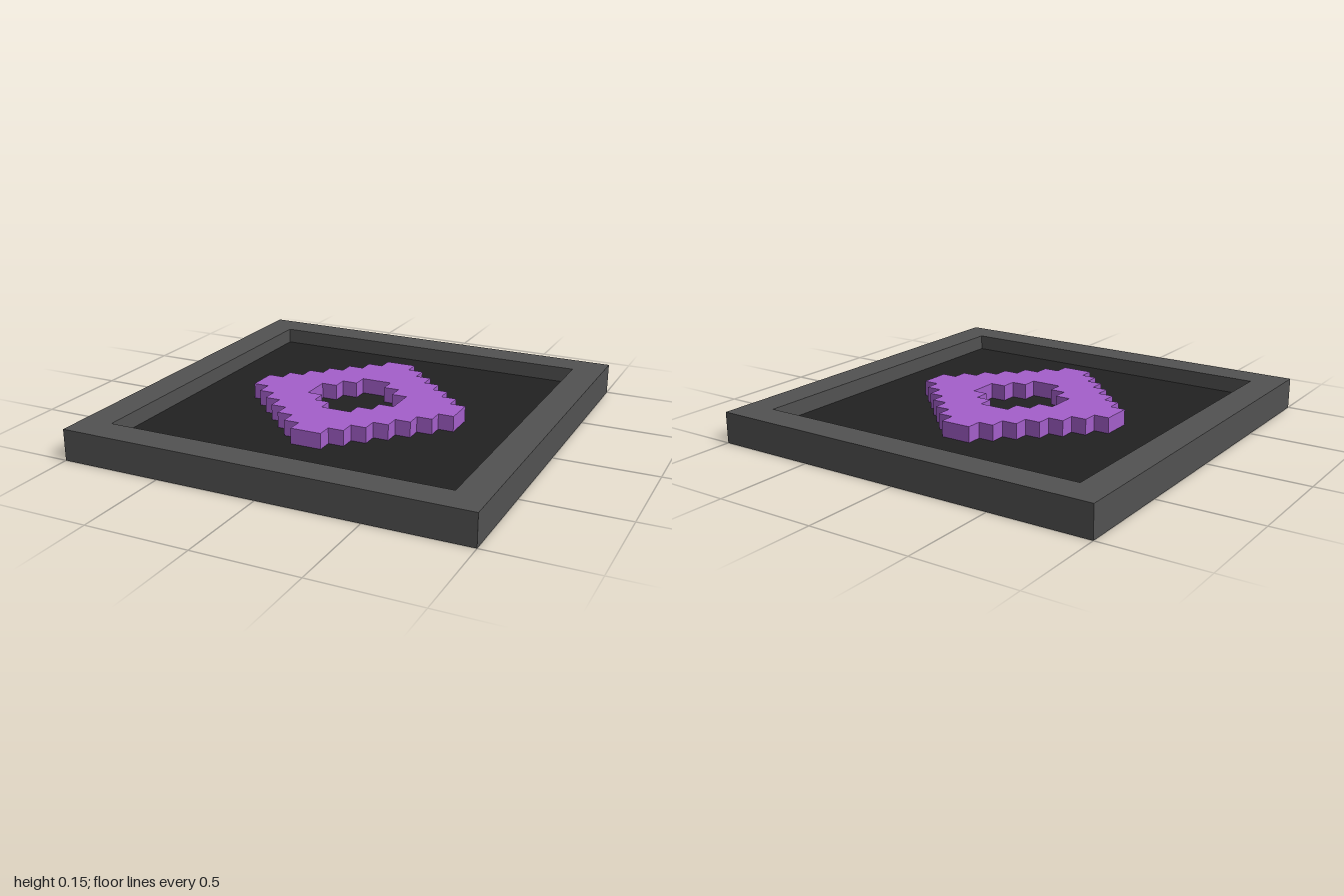
import * as THREE from 'three';

const CELL = 2 / 26; // the model sits on a 26 x 26 block grid

const frameGrey = new THREE.MeshStandardMaterial({ name: 'frameGrey', color: 0x525252 });
const floorBlack = new THREE.MeshStandardMaterial({ name: 'floorBlack', color: 0x222222 });
const ringPurple = new THREE.MeshStandardMaterial({ name: 'ringPurple', color: 0xa45fcb });

// Square outline with the given half width in cells
function squarePoints(half) {
  const h = half * CELL;
  return [[-h, -h], [h, -h], [h, h], [-h, h]].map(([x, y]) => new THREE.Vector2(x, y));
}

// Stepped diamond outline, n cells from centre to tip
function diamondPoints(n) {
  const quarter = [];
  for (let i = 0; i < n; i++) quarter.push([n - i, i], [n - i, i + 1]);
  const points = [];
  for (let turn = 0; turn < 4; turn++) {
    for (let [x, y] of quarter) {
      for (let t = 0; t < turn; t++) [x, y] = [-y, x];
      points.push(new THREE.Vector2(x * CELL, y * CELL));
    }
  }
  return points;
}

// Upright slab with a hole, from height bottom to top in cells
function ringSlab(name, outer, inner, bottom, top, material) {
  const shape = new THREE.Shape(outer);
  shape.holes.push(new THREE.Path(inner));
  const geometry = new THREE.ExtrudeGeometry(shape, { depth: (top - bottom) * CELL, bevelEnabled: false });
  geometry.rotateX(-Math.PI / 2);
  geometry.translate(0, bottom * CELL, 0);
  const mesh = new THREE.Mesh(geometry, material);
  mesh.name = name;
  return mesh;
}

export function createModel() {
  const model = new THREE.Group();
  model.name = 'framedTile';

  // Raised border, two cells wide and two high
  model.add(ringSlab('frame', squarePoints(13), squarePoints(11), 0, 2, frameGrey));

  // Sunken floor, one cell thick and flush underneath
  const floor = new THREE.Mesh(new THREE.BoxGeometry(22 * CELL, CELL, 22 * CELL), floorBlack);
  floor.name = 'floor';
  floor.position.y = CELL / 2;
  model.add(floor);

  // Stepped diamond ring standing on the floor
  model.add(ringSlab('diamondRing', diamondPoints(7), diamondPoints(3), 1, 2, ringPurple));

  return model;
}
